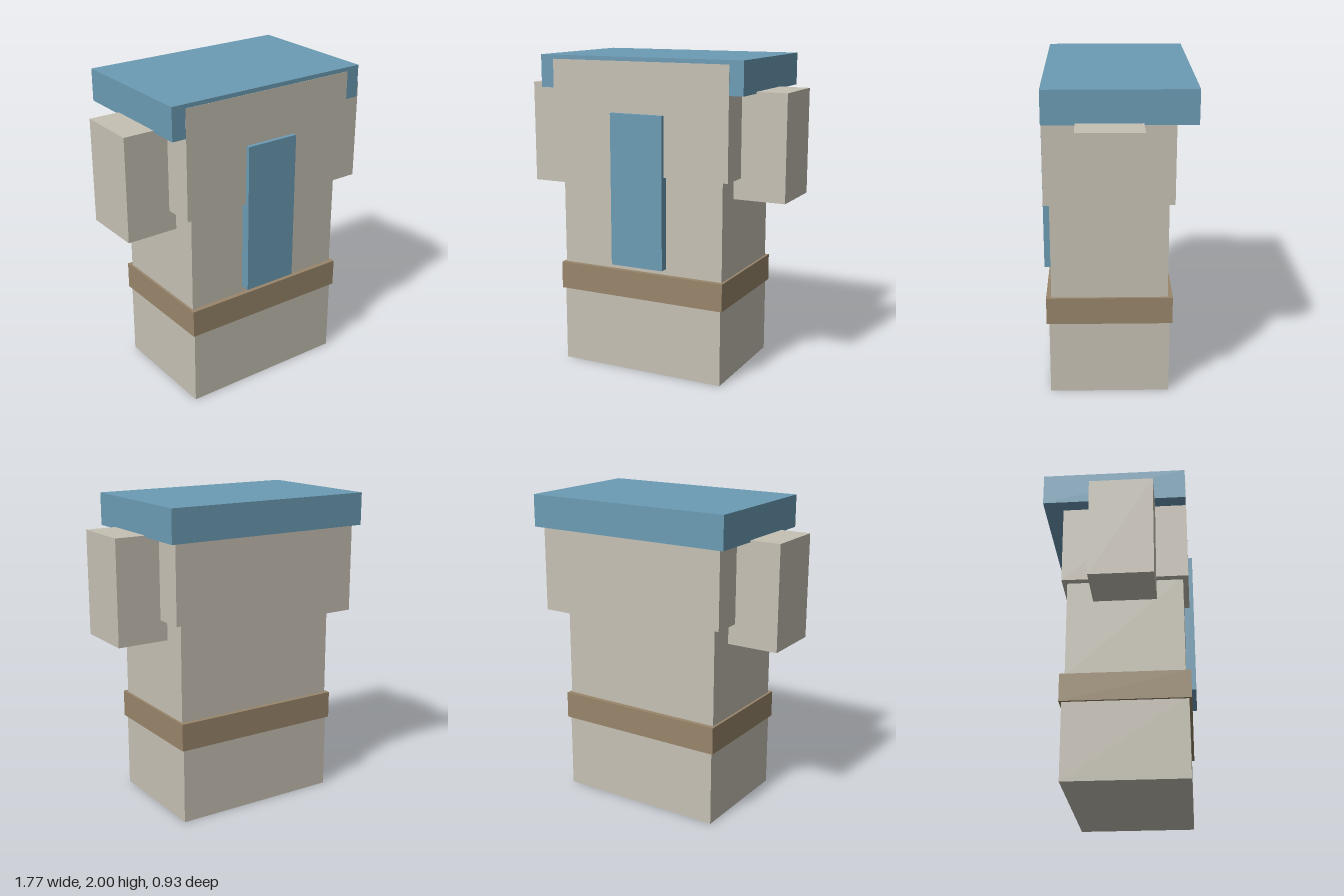
import * as THREE from 'three';

function material(name, color) {
  const m = new THREE.MeshStandardMaterial({ color });
  m.name = name;
  return m;
}

export function createModel() {
  const stone = material('pale stone', 0xc6c1b4);
  const blue = material('dusty blue', 0x6c9cb5);
  const brown = material('belt brown', 0x99866b);

  const model = new THREE.Group();
  model.name = 'blockFigure';

  // Box given by its extents along each axis
  function block(name, mat, [x0, x1], [y0, y1], [z0, z1]) {
    const mesh = new THREE.Mesh(new THREE.BoxGeometry(x1 - x0, y1 - y0, z1 - z0), mat);
    mesh.position.set((x0 + x1) / 2, (y0 + y1) / 2, (z0 + z1) / 2);
    mesh.name = name;
    model.add(mesh);
  }

  // Body, stacked from the ground up
  block('lowerBody', stone, [-0.554, 0.554], [0, 0.5], [-0.331, 0.421]);
  block('belt', brown, [-0.57, 0.57], [0.486, 0.661], [-0.346, 0.437]);
  block('torso', stone, [-0.554, 0.554], [0.65, 1.3], [-0.315, 0.405]);
  block('chest', stone, [-0.6, 0.6], [1.281, 1.974], [-0.346, 0.438]);

  // Flat cap overhanging the back, and the panel down the front
  block('cap', blue, [-0.69, 0.69], [1.795, 2], [-0.465, 0.436]);
  block('frontPanel', blue, [-0.178, 0.178], [0.7, 1.659], [0.4, 0.465]);

  // Arms, mirrored
  block('leftArm', stone, [0.552, 0.886], [1.149, 1.806], [-0.151, 0.241]);
  block('rightArm', stone, [-0.886, -0.552], [1.149, 1.806], [-0.151, 0.241]);

  return model;
}
